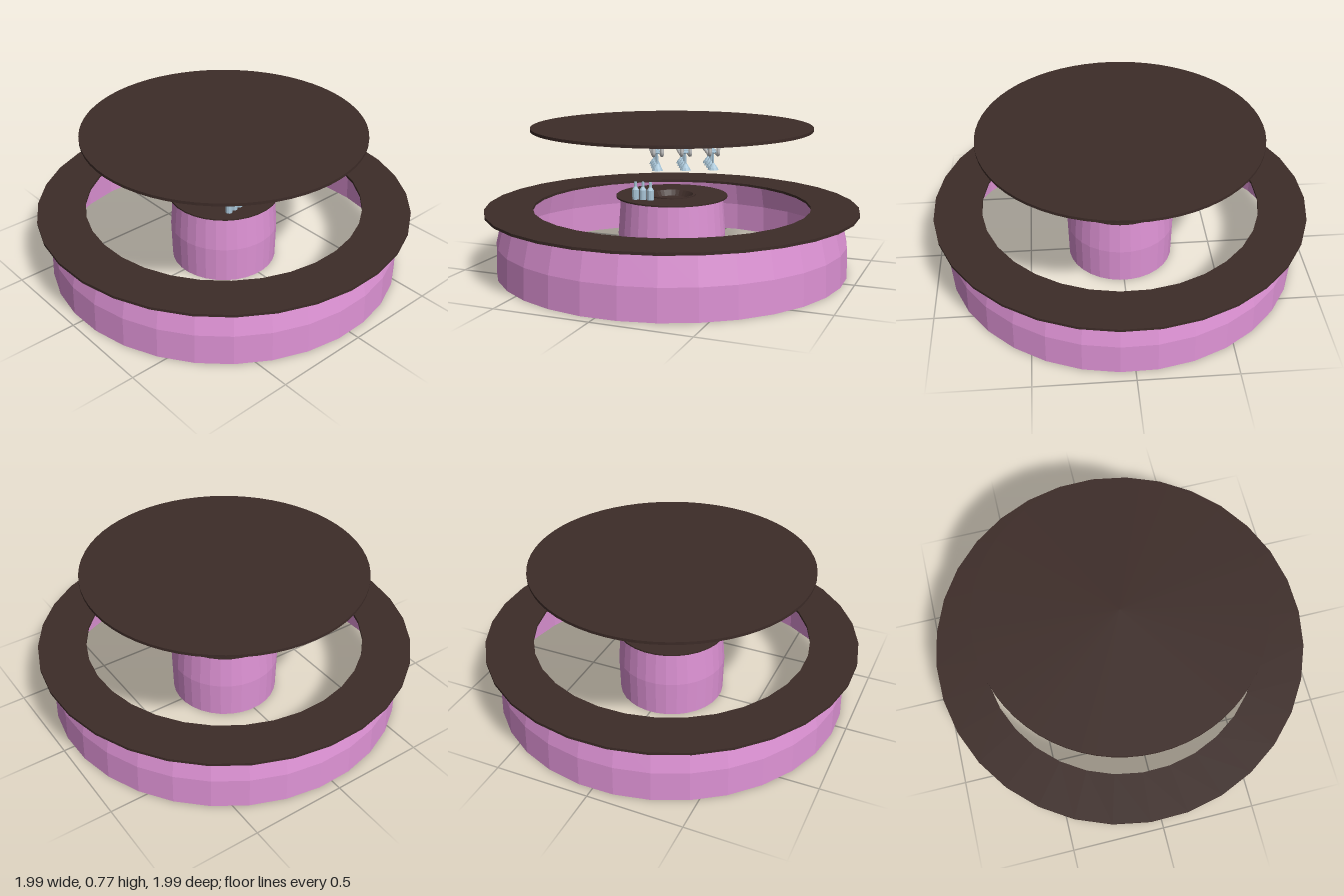
import * as THREE from 'three';

const mat = (color, flatShading = true) =>
  new THREE.MeshStandardMaterial({ color, flatShading, side: THREE.DoubleSide });

// Revolves [radius, y] pairs around the y axis
function lathe(name, profile, sides, material, phase = 0) {
  const points = profile.map(([r, y]) => new THREE.Vector2(r, y));
  const mesh = new THREE.Mesh(new THREE.LatheGeometry(points, sides, phase), material);
  mesh.name = name;
  return mesh;
}

// Closed rectangular section of a flat ring or disc
const slab = (inner, outer, y0, y1) =>
  [[inner, y0], [outer, y0], [outer, y1], [inner, y1], [inner, y0]];

export function createModel() {
  const model = new THREE.Group();
  model.name = 'roundBar';
  const wood = mat(0x3d2c28);
  const pink = mat(0xdd92d4);
  const metal = mat(0xcccccc, false);
  const glassBlue = mat(0xa9c6d8);
  const phase = 0.116;

  // Outer bar: thin bulging wall below a ring counter
  model.add(lathe('barWall', [[0.945, 0], [0.94, 0.163], [0.9, 0.328]], 32, pink, phase));
  model.add(lathe('barCounter', slab(0.745, 1, 0.326, 0.34), 32, wood, phase));

  // Central island with a shallow basin in its top
  model.add(lathe('islandWall', [[0.285, 0], [0.29, 0.197], [0.275, 0.39]], 32, pink, phase));
  model.add(lathe('islandCounter', slab(0.125, 0.3, 0.388, 0.396), 32, wood, phase));
  model.add(lathe('basin',
    [[0, 0.37], [0.095, 0.37], [0.115, 0.4], [0.13, 0.401], [0.13, 0.39]].reverse(), 32, wood));

  // Canopy disc
  model.add(lathe('canopy', slab(0, 0.747, 0.755, 0.77), 64, wood));

  // Bottles standing on the island
  const bottleProfile = [[0, 0], [0.018, 0], [0.018, 0.052], [0.008, 0.068], [0.008, 0.094], [0, 0.094]];
  for (let i = 0; i < 3; i++) {
    const bottle = lathe('bottle', bottleProfile, 10, glassBlue);
    bottle.position.set(-0.13 + i * 0.04, 0.396, 0.188 - i * 0.005);
    model.add(bottle);
  }

  // Glass rack below the canopy: local z runs along the rails
  const rack = new THREE.Group();
  rack.name = 'glassRack';
  rack.position.set(0.195, 0, 0.34);
  rack.rotation.y = Math.atan2(0.447, 0.894);
  model.add(rack);

  // U-shaped rail with rounded corners
  const end = 0.155, top = 0.757, low = 0.693, bend = 0.02;
  const v = (y, z) => new THREE.Vector3(0, y, z);
  const path = new THREE.CurvePath();
  path.add(new THREE.LineCurve3(v(top, -end), v(low + bend, -end)));
  path.add(new THREE.QuadraticBezierCurve3(v(low + bend, -end), v(low, -end), v(low, -end + bend)));
  path.add(new THREE.LineCurve3(v(low, -end + bend), v(low, end - bend)));
  path.add(new THREE.QuadraticBezierCurve3(v(low, end - bend), v(low, end), v(low + bend, end)));
  path.add(new THREE.LineCurve3(v(low + bend, end), v(top, end)));
  const railGeometry = new THREE.TubeGeometry(path, 64, 0.009, 8);

  // Hanging glass: bowl rim down, foot resting on the rails
  const glassProfile = [[0.027, 0.618], [0.021, 0.63], [0.005, 0.651], [0.004, 0.698],
    [0.022, 0.703], [0.022, 0.707], [0, 0.708]];

  for (const x of [-0.134, 0, 0.134]) {
    for (const side of [-1, 1]) {
      const rail = new THREE.Mesh(railGeometry, metal);
      rail.name = 'rackRail';
      rail.position.x = x + side * 0.02;
      rack.add(rail);
    }
    for (let i = 0; i < 4; i++) {
      const glass = lathe('hangingGlass', glassProfile, 10, glassBlue);
      glass.position.set(x, 0, 0.022 + (i - 1.5) * 0.067);
      rack.add(glass);
    }
  }
  return model;
}
